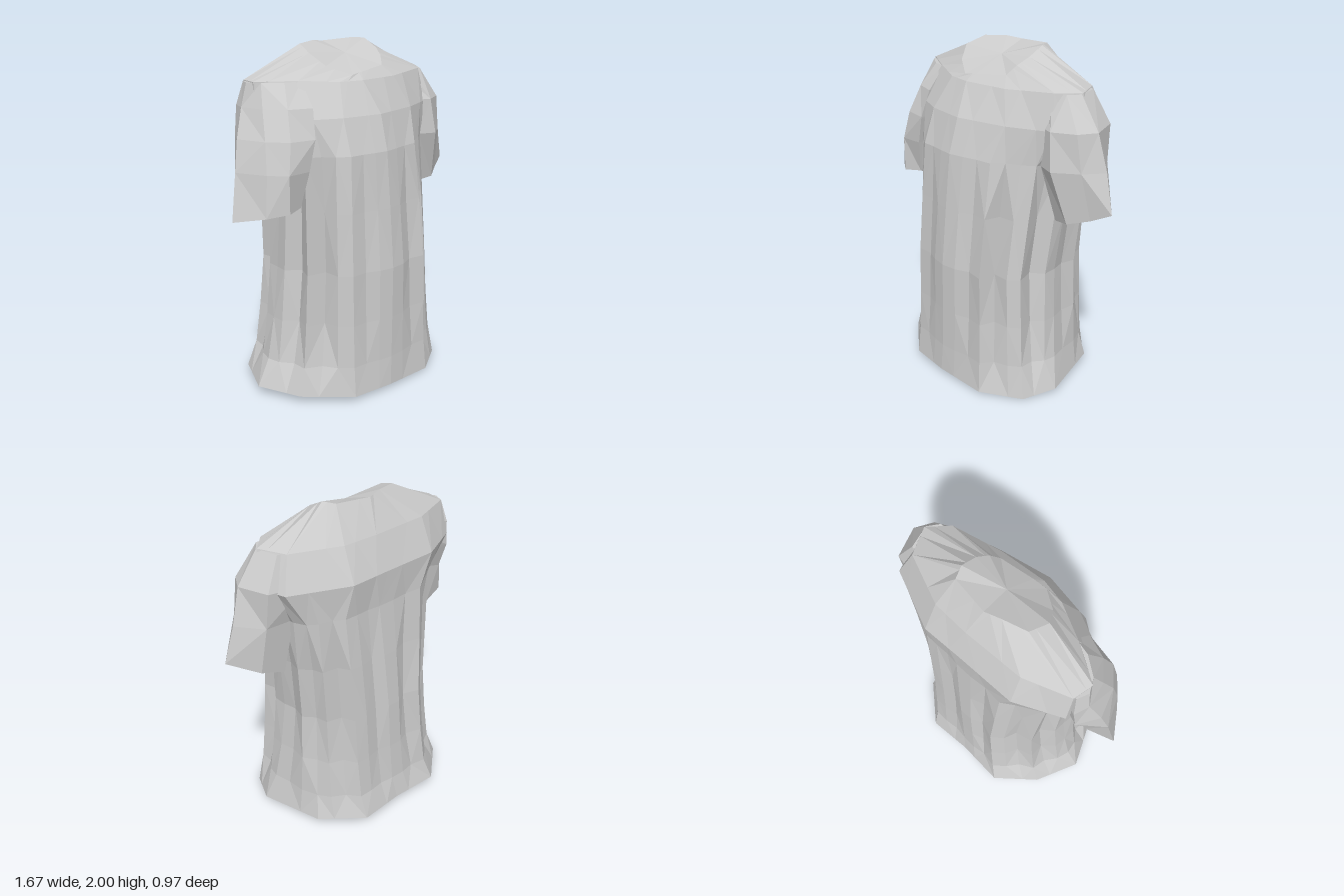
import * as THREE from 'three';

const material = () => new THREE.MeshStandardMaterial({ color: 0xcccccc, flatShading: true });

// Skin over rings of points listed from bottom to top, closed at both ends.
function loft(name, rings) {
  const count = rings[0].length;
  const center = (points) =>
    points.reduce((sum, p) => sum.add(p), new THREE.Vector3()).divideScalar(count);
  const first = rings[0], last = rings[rings.length - 1];
  const bottom = center(first), top = center(last);
  const out = [];
  for (let i = 0; i < count; i++) {
    const j = (i + 1) % count;
    out.push(bottom, first[i], first[j], top, last[j], last[i]);
    for (let r = 0; r < rings.length - 1; r++) {
      const a = rings[r][i], b = rings[r][j], c = rings[r + 1][i], d = rings[r + 1][j];
      // Alternate diagonals give the irregular creased facets
      if ((i + r) % 2) out.push(a, c, b, b, c, d);
      else out.push(a, c, d, a, d, b);
    }
  }
  const geometry = new THREE.BufferGeometry().setFromPoints(out);
  geometry.computeVertexNormals();
  const mesh = new THREE.Mesh(geometry, material());
  mesh.name = name;
  return mesh;
}

// A corner [x, z, own height if any] of an outline lying at height y
const corner = ([x, z, ownY], y) => new THREE.Vector3(x, ownY ?? y, z);

// Torso outlines: 12 corners, left side first, then round by the front
const hem = [
  [0.57, 0.06, 0.02], [0.51, 0.26, 0], [0.3, 0.43, 0.01], [-0.02, 0.48], [-0.28, 0.48], [-0.55, 0.31, 0.04],
  [-0.69, 0.08, 0.05], [-0.6, -0.2, 0.05], [-0.4, -0.42, 0.05], [-0.1, -0.44, 0.05], [0.17, -0.49, 0.05], [0.42, -0.32, 0.04],
];
const waist = [
  [0.47, -0.02], [0.44, 0.23], [0.28, 0.4], [0, 0.46], [-0.27, 0.44], [-0.47, 0.28],
  [-0.55, 0.05], [-0.48, -0.18], [-0.3, -0.36], [-0.05, -0.39], [0.2, -0.4], [0.41, -0.27],
];
const chest = [
  [0.54, -0.08], [0.46, 0.14], [0.27, 0.31], [0, 0.39], [-0.25, 0.39], [-0.47, 0.27],
  [-0.53, 0.1], [-0.52, -0.13], [-0.32, -0.3], [0, -0.34], [0.24, -0.36], [0.46, -0.3],
];
const armhole = [
  [0.64, -0.1], [0.53, 0.1], [0.3, 0.23], [0, 0.33], [-0.25, 0.32], [-0.5, 0.24],
  [-0.63, 0.06], [-0.65, -0.13], [-0.4, -0.29], [-0.05, -0.34], [0.2, -0.38], [0.56, -0.28],
];
const shoulder = [
  [0.59, -0.06], [0.5, 0.06], [0.22, 0.17, 1.8], [-0.05, 0.23, 1.8], [-0.2, 0.22, 1.8], [-0.42, 0.14],
  [-0.64, 0.04], [-0.63, -0.08], [-0.38, -0.21], [-0.02, -0.27], [0.2, -0.29], [0.5, -0.21],
];
const neckline = [
  [0.22, 0, 1.95], [0.2, 0.07, 1.91], [0.17, 0.12, 1.86], [-0.02, 0.18, 1.84], [-0.1, 0.2, 1.83], [-0.23, 0.13, 1.88],
  [-0.29, 0.05, 1.95], [-0.27, -0.07, 1.99], [-0.14, -0.13, 2], [-0.05, -0.17, 1.99], [0.17, -0.17, 2], [0.21, -0.1, 2],
];

// Depth of the vertical fold running down each creased column of the torso
const columns = 36;
const folds = {
  0: 0.05, 2: 0.12, 5: 0.14, 7: 0.06, 11: 0.04, 14: 0.13, 16: 0.12, 18: 0.05, 20: 0.09,
  22: 0.09, 25: 0.09, 28: 0.06, 31: 0.09, 33: 0.11, 35: 0.07,
};

// Blend two outlines, split each edge in three and press the folds in
function torsoRing(y, from, to = from, blend = 0, fold = 0) {
  const mixed = from.map((c, k) => {
    const p = corner(c, y).lerp(corner(to[k], y), blend);
    if (blend > 0) p.y = y;
    return p;
  });
  return Array.from({ length: columns }, (_, i) => {
    const k = Math.floor(i / 3);
    const p = mixed[k].clone().lerp(mixed[(k + 1) % 12], (i % 3) / 3);
    const r = 1 - (folds[i] ?? 0) * fold;
    return p.set(p.x * r, p.y, p.z * r);
  });
}

const sleeve = (name, rows) =>
  loft(name, rows.map(([y, ...corners]) => corners.map((c) => corner(c, y))));

export function createModel() {
  const group = new THREE.Group();
  group.name = 'shirt';

  // Torso from hem to tilted neckline
  group.add(loft('torso', [
    torsoRing(0.025, hem),
    torsoRing(0.2, hem, waist, 0.49, 0.4),
    torsoRing(0.45, hem, waist, 0.77, 0.8),
    torsoRing(0.75, waist, waist, 0, 1),
    torsoRing(1.1, waist, chest, 0.5, 0.9),
    torsoRing(1.42, chest, chest, 0, 0.3),
    torsoRing(1.62, armhole),
    torsoRing(1.815, shoulder),
    torsoRing(1.9, neckline),
  ]));

  // Left sleeve from cuff to shoulder; corners run outer, front, inner, back
  group.add(sleeve('leftSleeve', [
    [1.13, [0.83, -0.07, 1.2], [0.73, -0.01, 1.15], [0.63, 0.07, 1.12], [0.52, 0.05, 1.1], [0.52, -0.17, 1.09], [0.67, -0.18, 1.14]],
    [1.42, [0.77, -0.08], [0.7, 0.04], [0.58, 0.15], [0.47, 0.12], [0.47, -0.2], [0.64, -0.21]],
    [1.63, [0.715, -0.06], [0.67, 0.05], [0.55, 0.13], [0.42, 0.1], [0.42, -0.25], [0.63, -0.23]],
    [1.81, [0.59, -0.05], [0.55, 0.02], [0.45, 0.04], [0.38, 0], [0.38, -0.19], [0.54, -0.18]],
  ]));

  // Right sleeve, swung forward; corners run inner, front, outer, back
  group.add(sleeve('rightSleeve', [
    [1.1, [-0.5, 0.27, 1.15], [-0.6, 0.32, 1.14], [-0.71, 0.26, 1.12], [-0.84, 0.12, 1.09], [-0.68, 0.05, 1.07], [-0.52, 0.12, 1.08]],
    [1.35, [-0.46, 0.3], [-0.6, 0.32], [-0.69, 0.24], [-0.79, 0.08], [-0.7, -0.02], [-0.45, 0.06]],
    [1.52, [-0.42, 0.3], [-0.57, 0.29], [-0.67, 0.2], [-0.75, 0.04], [-0.69, -0.09], [-0.42, 0]],
    [1.68, [-0.4, 0.25], [-0.54, 0.22], [-0.64, 0.13], [-0.69, -0.01], [-0.67, -0.1], [-0.4, -0.05]],
    [1.81, [-0.4, 0.14], [-0.5, 0.13], [-0.61, 0.07], [-0.66, 0], [-0.64, -0.07], [-0.4, -0.05]],
  ]));

  return group;
}
